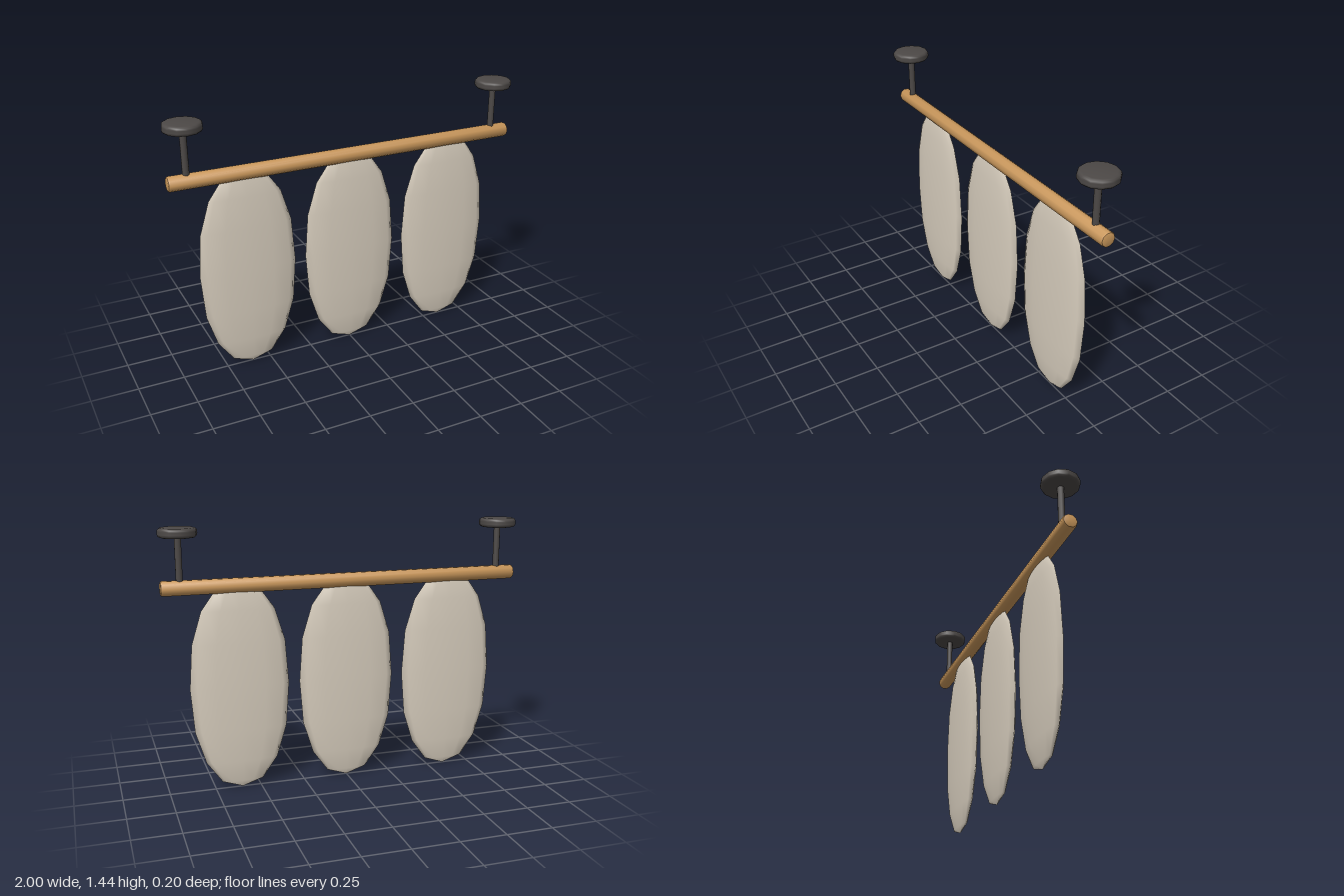
import * as THREE from 'three';
import { toCreasedNormals } from 'three/addons/utils/BufferGeometryUtils.js';

const wood = new THREE.MeshStandardMaterial({ color: 0xc8965a });
const metal = new THREE.MeshStandardMaterial({ color: 0x4c4846 });
const cloth = new THREE.MeshStandardMaterial({ color: 0xd8cebe });

function add(parent, name, geometry, material, x = 0, y = 0) {
  const mesh = new THREE.Mesh(geometry, material);
  mesh.name = name;
  mesh.position.set(x, y, 0);
  parent.add(mesh);
}

const lathe = (pairs, sides) =>
  new THREE.LatheGeometry(pairs.map(([r, y]) => new THREE.Vector2(r, y)), sides);

// Solid disc or rod about y with softened rims
function roundedDisc(radius, height, bevel, sides, steps) {
  const h = height / 2 - bevel, pts = [[0, -height / 2]];
  for (const end of [-1, 1]) {
    for (let i = 0; i <= steps; i++) {
      const a = (end < 0 ? i / steps - 1 : i / steps) * Math.PI / 2;
      pts.push([radius - bevel + bevel * Math.cos(a), end * h + bevel * Math.sin(a)]);
    }
  }
  pts.push([0, height / 2]);
  return toCreasedNormals(lathe(pts, sides), 0.75);
}

export function createModel() {
  const group = new THREE.Group();

  // Horizontal wooden rail
  add(group, 'rail', roundedDisc(0.04, 2, 0.01, 10, 2).rotateZ(Math.PI / 2), wood, 0, 1.13);

  // Ceiling mounts at both ends
  for (const x of [-0.9, 0.9]) {
    add(group, 'mountRod', new THREE.CylinderGeometry(0.018, 0.018, 0.27, 10), metal, x, 1.275);
    add(group, 'mountPlate', roundedDisc(0.102, 0.05, 0.018, 12, 3), metal, x, 1.415);
  }

  // Three flattened oval panels hanging under the rail
  const half = [[0, 0.575], [0.112, 0.538], [0.197, 0.42], [0.252, 0.242]];
  const profile = [
    ...half.map(([r, y]) => [r, -y]),
    [0.27, 0],
    ...half.map(([r, y]) => [r, y]).reverse(),
  ];
  for (const x of [-0.6, 0, 0.6]) {
    add(group, 'hangingPanel', lathe(profile, 12).scale(1, 1, 0.14), cloth, x, 0.58);
  }
  return group;
}
